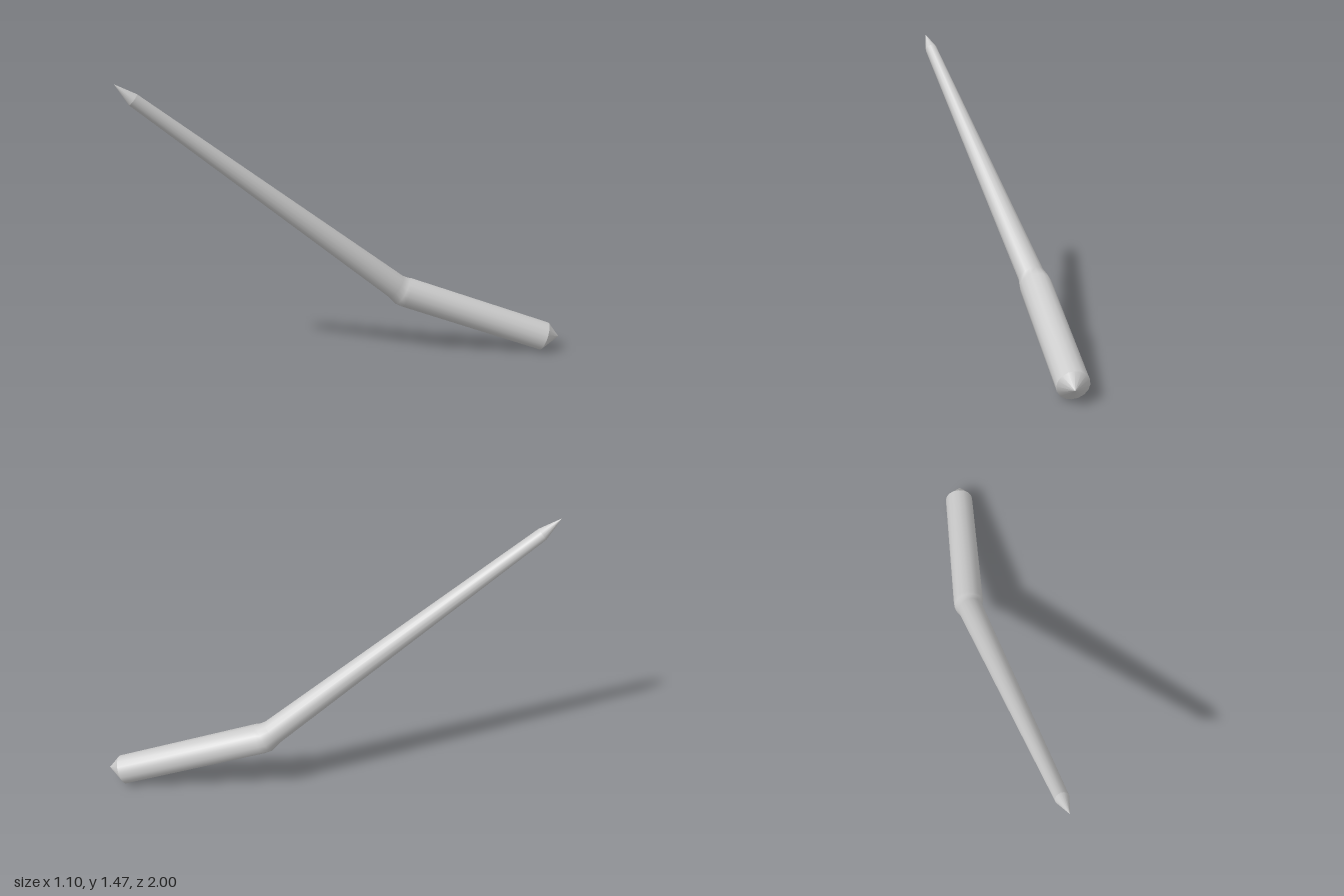
import * as THREE from 'three';

const SIDES = 16;
const material = new THREE.MeshStandardMaterial({ color: 0xcccccc, side: THREE.DoubleSide });

// Smooth skin through circular sections; each station is [centre, radius, axis].
function loft(name, stations) {
  const positions = [], index = [];
  const up = new THREE.Vector3(0, 1, 0);
  for (const [centre, radius, axis] of stations) {
    const u = new THREE.Vector3().crossVectors(up, axis).normalize();
    const v = new THREE.Vector3().crossVectors(axis, u).normalize();
    for (let i = 0; i < SIDES; i++) {
      const a = (i / SIDES) * Math.PI * 2;
      const p = centre.clone()
        .addScaledVector(u, radius * Math.cos(a))
        .addScaledVector(v, radius * Math.sin(a));
      positions.push(p.x, p.y, p.z);
    }
  }
  for (let s = 0; s < stations.length - 1; s++) {
    for (let i = 0; i < SIDES; i++) {
      const a = s * SIDES + i, b = s * SIDES + ((i + 1) % SIDES);
      index.push(a, b, b + SIDES, a, b + SIDES, a + SIDES);
    }
  }
  const geometry = new THREE.BufferGeometry();
  geometry.setAttribute('position', new THREE.Float32BufferAttribute(positions, 3));
  geometry.setIndex(index);
  geometry.computeVertexNormals();
  const mesh = new THREE.Mesh(geometry, material);
  mesh.name = name;
  return mesh;
}

export function createModel() {
  const group = new THREE.Group();
  group.name = 'bentSpike';

  const base = new THREE.Vector3(0.487, 0.076, -0.947);
  const bend = new THREE.Vector3(0.03, 0.335, -0.335);
  const shoulder = new THREE.Vector3(-0.51, 1.398, 0.92);
  const baseTip = new THREE.Vector3(0.54, 0.078, -1);
  const tip = new THREE.Vector3(-0.545, 1.475, 1);

  const lower = bend.clone().sub(base).normalize();
  const upper = shoulder.clone().sub(bend).normalize();
  const mitre = lower.clone().add(upper).normalize();

  // Thick lower segment, bend and long tapering shaft
  group.add(loft('shaft', [
    [base, 0.077, lower],
    [bend.clone().addScaledVector(lower, -0.03), 0.08, lower],
    [bend, 0.078, mitre],
    [bend.clone().addScaledVector(upper, 0.05), 0.067, upper],
    [shoulder, 0.033, upper],
  ]));

  // Short blunt point at the bottom, slender point at the top
  group.add(loft('baseEnd', [[baseTip, 0.001, lower], [base, 0.077, lower]]));
  group.add(loft('pointedTip', [[shoulder, 0.033, upper], [tip, 0.0005, upper]]));
  return group;
}
